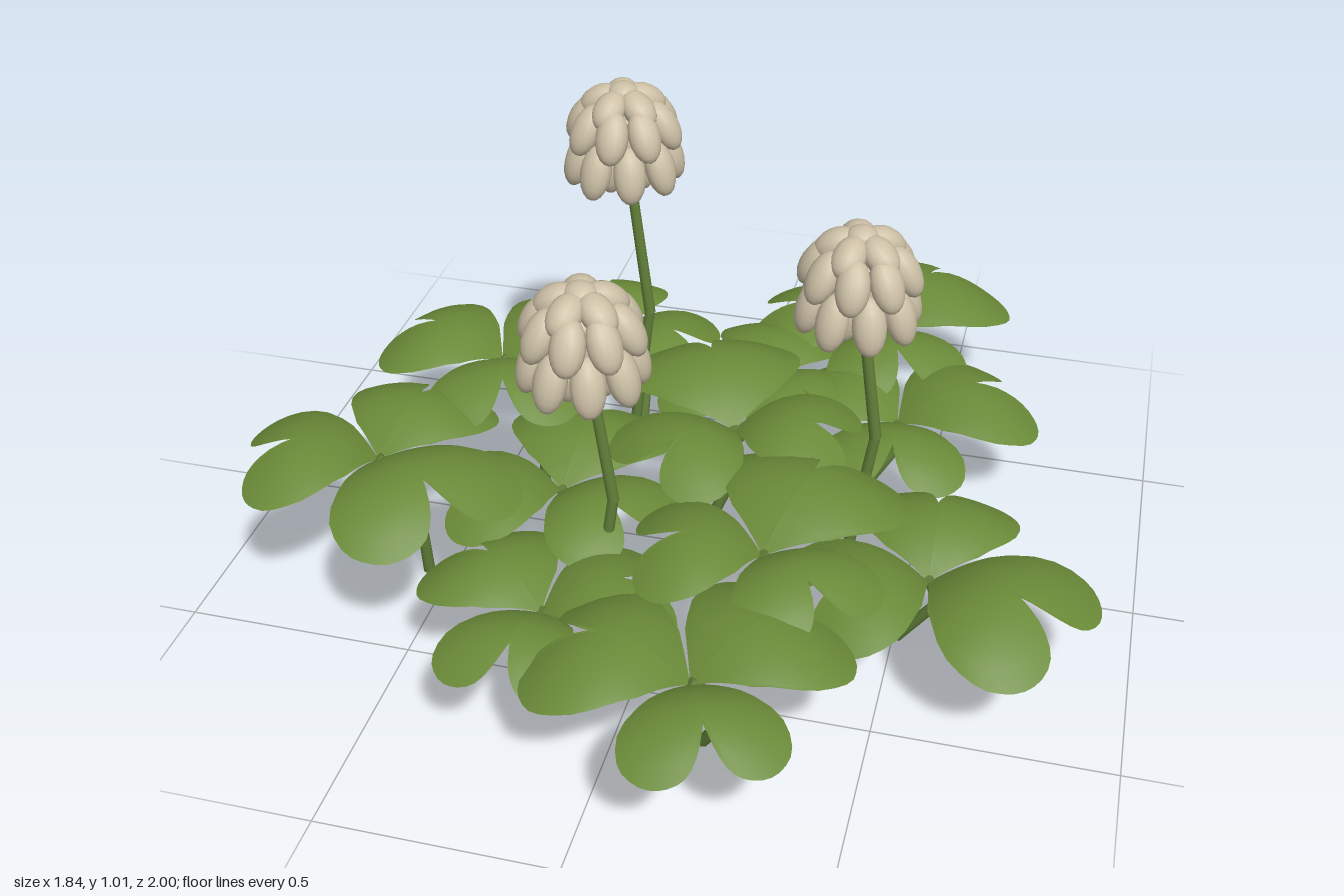
import * as THREE from 'three';

const mat = (name, color, side = THREE.FrontSide) => {
  const m = new THREE.MeshStandardMaterial({ color, side });
  m.name = name;
  return m;
};
const V = (x, y, z) => new THREE.Vector3(x, y, z);
const P = (x, y) => new THREE.Vector2(x, y);
const UP = V(0, 1, 0);

// Heart-shaped leaflet of unit length along +x, arched and drooping to both sides
function leafletGeometry() {
  const half = new THREE.SplineCurve([P(0.6, 0), P(0.79, 0.06), P(0.91, 0.16), P(0.93, 0.32),
    P(0.86, 0.47), P(0.7, 0.57), P(0.45, 0.53), P(0.2, 0.31)]).getPoints(18);
  const outline = [...half.slice(1).reverse().map((p) => P(p.x, -p.y)), ...half];
  const rings = 8, n = outline.length, pos = [0, 0, 0], idx = [];
  for (let k = 1; k <= rings; k++) {
    for (const p of outline) {
      const x = p.x * k / rings, z = p.y * k / rings;
      pos.push(x, 0.92 * x - 0.93 * x * x - 0.5 * z * z, z);
    }
  }
  for (let i = 1; i < n; i++) {
    idx.push(0, i + 1, i);
    for (let k = 0; k < rings - 1; k++) {
      const a = k * n + i, b = a + n;
      idx.push(a, a + 1, b, a + 1, b + 1, b);
    }
  }
  const g = new THREE.BufferGeometry();
  g.setAttribute('position', new THREE.Float32BufferAttribute(pos, 3));
  g.setIndex(idx);
  g.computeVertexNormals();
  return g;
}

// Leaves: centre x, y, z, stem foot x, heading of the first leaflet in degrees, its length, length of the others
const LEAVES = [
  [0.30, 0.23, -0.63, 0.26, -59, 0.38, 0.30],
  [-0.33, 0.20, -0.51, -0.24, -111, 0.27, 0.27],
  [0.42, 0.20, -0.30, 0.34, -34, 0.33, 0.29],
  [-0.48, 0.35, -0.12, -0.39, 190, 0.29, 0.30],
  [0.07, 0.22, -0.37, 0.00, -83, 0.26, 0.27],
  [-0.62, 0.33, 0.29, -0.55, 41, 0.36, 0.30],
  [0.57, 0.20, 0.25, 0.51, 27, 0.36, 0.31],
  [0.24, 0.29, 0.36, 0.21, -73, 0.37, 0.28],
  [0.18, 0.25, 0.72, 0.18, 68, 0.28, 0.33],
  [-0.17, 0.22, 0.56, -0.13, 93, 0.27, 0.28],
  [0.09, 0.31, -0.03, 0.02, -117, 0.37, 0.29],
  [-0.24, 0.25, 0.20, -0.22, -87, 0.33, 0.28],
];

// Flowers: x, head centre y, z
const FLOWERS = [[-0.225, 0.88, -0.285], [-0.13, 0.755, 0.35], [0.355, 0.755, 0]];

// Floret rings: count, ring radius, height, lean of the long axis
const FLORETS = [[1, 0, 0.092, 1.57], [5, 0.054, 0.076, 1], [8, 0.092, 0.03, 0.5],
  [8, 0.1, -0.055, 0.3], [3, 0.04, -0.06, 0.1]];

export function createModel() {
  const model = new THREE.Group();
  model.name = 'cloverPatch';
  const leafMat = mat('leaf green', 0x6a8a38, THREE.DoubleSide);
  const stemMat = mat('stem green', 0x62803a);
  const petalMat = mat('cream petal', 0xcdc0a6);
  const leafGeo = leafletGeometry();
  const floretGeo = new THREE.SphereGeometry(1, 14, 10);

  // Kinked stem made of straight round rods through the given points
  function stem(points, name) {
    const group = new THREE.Group();
    group.name = name;
    for (let i = 0; i < points.length - 1; i++) {
      const d = points[i + 1].clone().sub(points[i]);
      const rod = new THREE.Mesh(new THREE.CylinderGeometry(0.0115, 0.0135, d.length() + 0.006, 8), stemMat);
      rod.name = 'stemSection';
      rod.position.copy(points[i]).addScaledVector(d, 0.5);
      rod.quaternion.setFromUnitVectors(UP, d.normalize());
      group.add(rod);
    }
    return group;
  }

  // Three-part leaves, each on its own stem
  for (const [x, y, z, footX, heading, first, others] of LEAVES) {
    const leaf = new THREE.Group();
    leaf.name = 'cloverLeaf';
    const foot = V(footX, 0.006, z * 0.87 - 0.01);
    const kink = V(footX + (x > 0 ? 0.085 : 0.005), y * 0.72, z * 0.96);
    leaf.add(stem([foot, kink, V(x, y + 0.005, z)], 'leafStem'));
    for (let i = 0; i < 3; i++) {
      const leaflet = new THREE.Mesh(leafGeo, leafMat);
      leaflet.name = 'leaflet';
      leaflet.position.set(x, y, z);
      leaflet.rotation.y = -THREE.MathUtils.degToRad(heading + i * 120);
      leaflet.scale.setScalar(i ? others : first);
      leaf.add(leaflet);
    }
    model.add(leaf);
  }

  // Round flower heads of overlapping florets
  for (const [x, y, z] of FLOWERS) {
    const flower = new THREE.Group();
    flower.name = 'cloverFlower';
    flower.add(stem([V(x, 0.006, z), V(x + 0.053, y * 0.49, z), V(x, y, z)], 'flowerStem'));
    const head = new THREE.Group();
    head.name = 'flowerHead';
    head.position.set(x, y, z);
    FLORETS.forEach(([count, radius, height, lean], ring) => {
      for (let i = 0; i < count; i++) {
        const pivot = new THREE.Group();
        pivot.name = 'floretPivot';
        pivot.rotation.y = (i + ring * 0.5) / count * Math.PI * 2;
        const floret = new THREE.Mesh(floretGeo, petalMat);
        floret.name = 'floret';
        floret.position.set(radius, height, 0);
        floret.rotation.z = lean;
        floret.scale.set(0.031, 0.07 - 0.021 * lean, 0.036);
        pivot.add(floret);
        head.add(pivot);
      }
    });
    // Core closing the gaps between florets
    const core = new THREE.Mesh(floretGeo, petalMat);
    core.name = 'flowerCore';
    core.scale.set(0.08, 0.085, 0.08);
    head.add(core);
    flower.add(head);
    model.add(flower);
  }
  return model;
}
